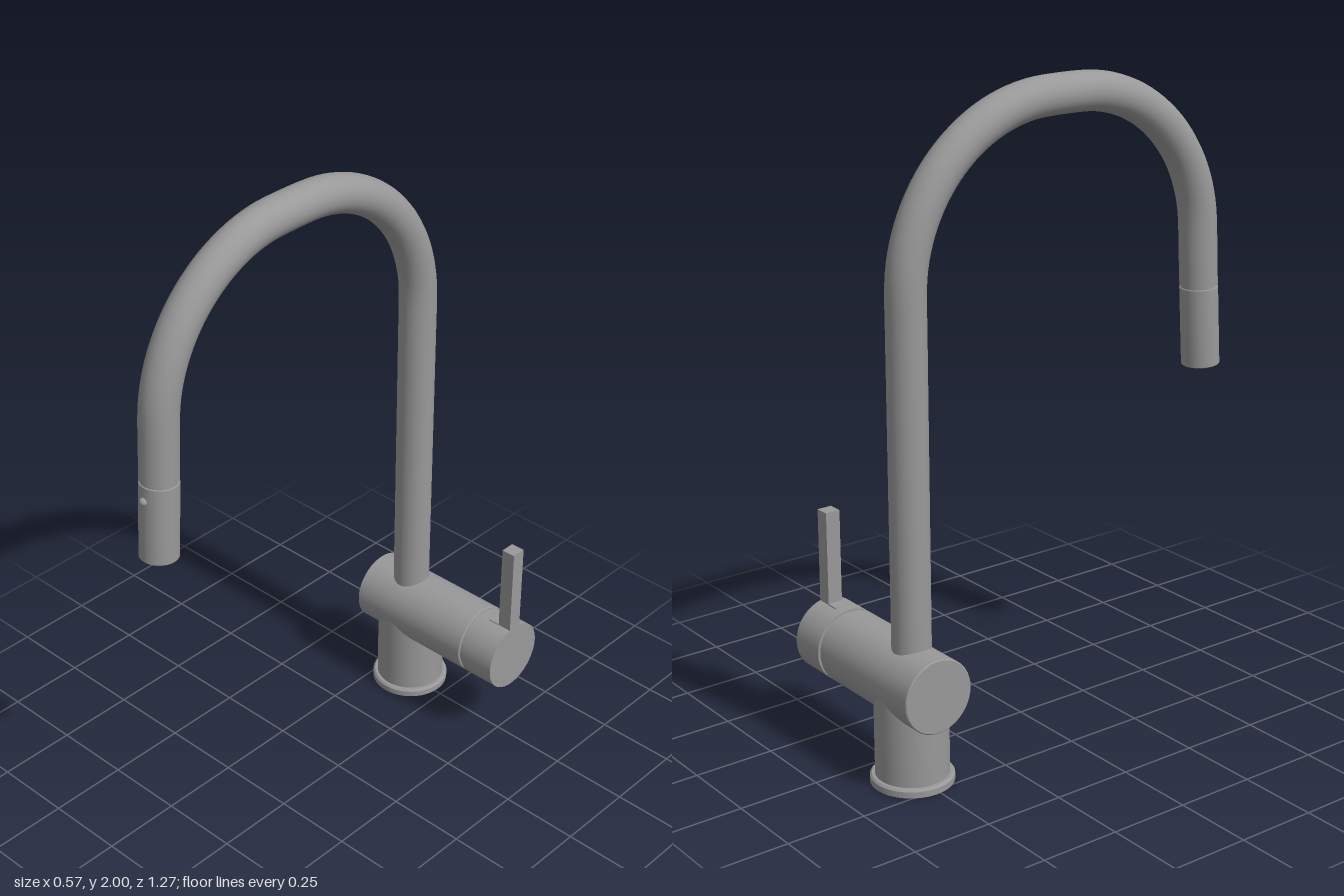
import * as THREE from 'three';
import { toCreasedNormals } from 'three/addons/utils/BufferGeometryUtils.js';

const PIPE_X = -0.148, AXIS_Z = -0.512, AXIS_Y = 0.31, PIPE_R = 0.058;

export function createModel() {
  const model = new THREE.Group();
  model.name = 'kitchenTap';
  const steel = new THREE.MeshStandardMaterial({ color: 0x999999 });
  steel.name = 'brushed steel';

  const add = (name, geometry, x = 0, y = 0, z = 0, parent = model) => {
    const mesh = new THREE.Mesh(geometry, steel);
    mesh.name = name;
    mesh.position.set(x, y, z);
    parent.add(mesh);
    return mesh;
  };
  // Turned solid from [radius, height] pairs, listed from bottom to top
  const turned = (profile, sides = 48) => toCreasedNormals(
    new THREE.LatheGeometry(profile.map(([r, h]) => new THREE.Vector2(r, h)), sides), 0.5);

  // Foot: flange and upright socket
  add('baseFlange', turned([[0, 0], [0.124, 0], [0.124, 0.019], [0.118, 0.025], [0, 0.025]]),
    PIPE_X, 0, AXIS_Z);
  add('baseColumn', turned([[0, 0.02], [0.109, 0.02], [0.109, 0.31], [0, 0.31]]), PIPE_X, 0, AXIS_Z);

  // Horizontal valve body, with a narrow neck towards the knob
  add('valveBody', turned([[0, -0.285], [0.11, -0.285], [0.113, -0.282], [0.113, 0.152],
    [0.11, 0.155], [0.106, 0.155], [0.106, 0.17], [0, 0.17]]).rotateZ(-Math.PI / 2), 0, AXIS_Y, AXIS_Z);

  // Knob, relieved underneath by a slanting cut at its inner end
  const knobShape = new THREE.CylinderGeometry(0.113, 0.113, 0.119, 64, 12)
    .rotateZ(-Math.PI / 2).translate(0.2255, 0, 0);
  const p = knobShape.attributes.position;
  for (let i = 0; i < p.count; i++) {
    const lowest = -0.098 - (p.getX(i) - 0.166) * 0.35;
    p.setY(i, Math.max(p.getY(i), lowest));
  }
  add('knob', toCreasedNormals(knobShape, 0.3), 0, AXIS_Y, AXIS_Z);

  // Lever standing on the knob
  add('lever', new THREE.BoxGeometry(0.046, 0.311, 0.047), 0.262, 0.5555, -0.514);
  add('leverFoot', new THREE.BoxGeometry(0.04, 0.04, 0.05), 0.22, 0.4035, -0.514);

  // Swan neck: riser, two arcs and a slightly tilted drop
  const tip = new THREE.Vector3(PIPE_X, 1.06, 0.578);
  const down = new THREE.Vector3(0, -1, 0.06).normalize();
  const along = (d) => tip.clone().addScaledVector(down, -d);
  const points = [0.36, 0.7, 1.05, 1.35].map((y) => new THREE.Vector3(PIPE_X, y, -0.508));
  const arc = (cz, r, from, to) => {
    for (let i = 0; i <= 14; i++) {
      const a = THREE.MathUtils.lerp(from, to, i / 14);
      points.push(new THREE.Vector3(PIPE_X, 1.942 - r + r * Math.sin(a), cz + r * Math.cos(a)));
    }
  };
  arc(-0.016, 0.492, Math.PI, Math.PI / 2);
  arc(0.085, 0.468, Math.PI / 2, 0.06);
  points.push(along(0.34), along(0.252));
  add('neckPipe', new THREE.TubeGeometry(new THREE.CatmullRomCurve3(points), 110, PIPE_R, 28));

  // Pull-out spray head with a fine seam and a small button
  const head = new THREE.Group();
  head.name = 'sprayHead';
  head.position.copy(tip);
  head.quaternion.setFromUnitVectors(new THREE.Vector3(0, -1, 0), down);
  model.add(head);
  add('sprayBody', turned([[0, 0], [0.057, 0], [0.0585, 0.002], [0.0585, 0.244], [0.057, 0.246],
    [0.055, 0.246], [0.055, 0.27], [0, 0.27]], 32), 0, 0, 0, head);
  add('sprayButton', new THREE.SphereGeometry(0.013, 16, 12), 0, 0.2, 0.058, head);

  return model;
}
